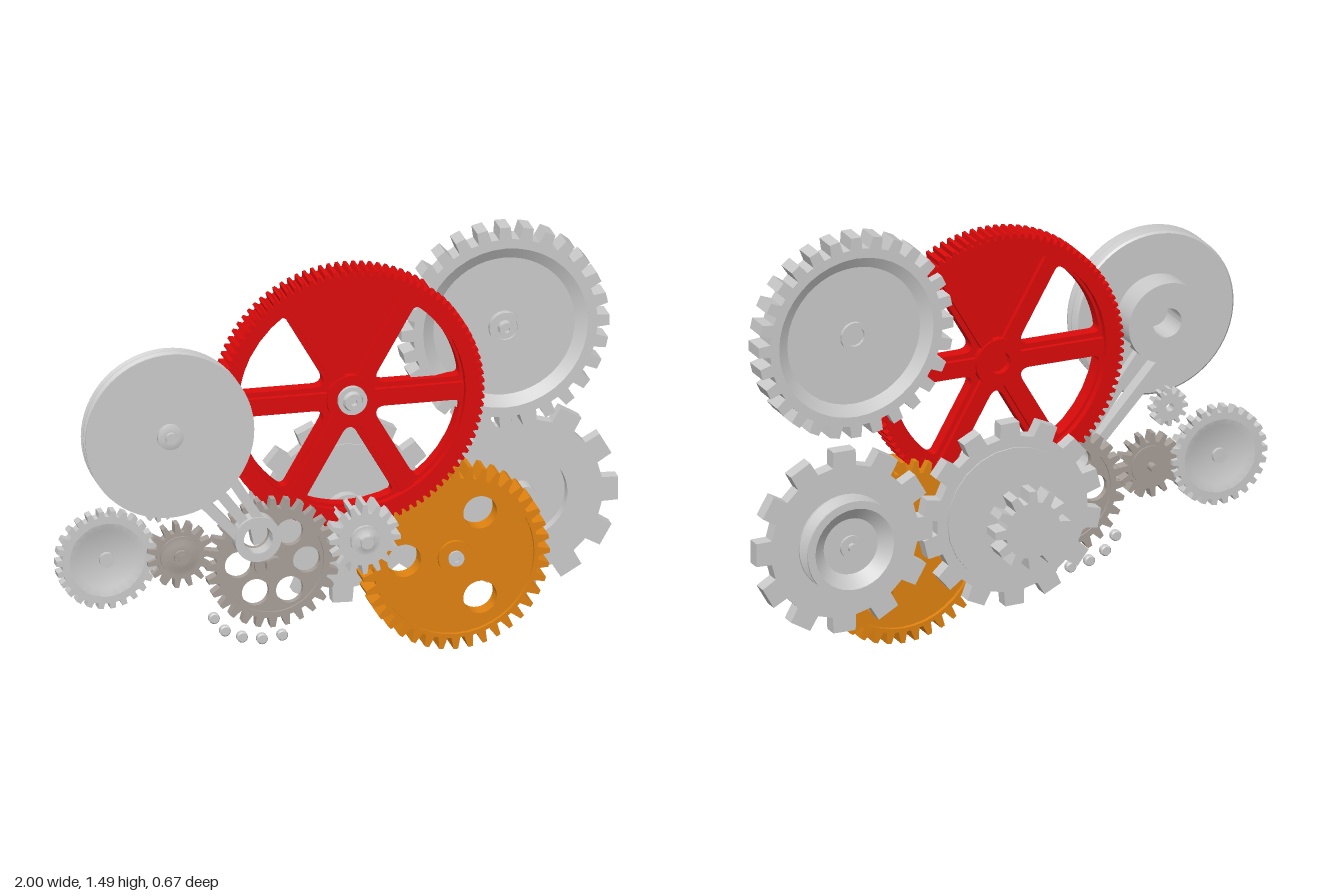
import * as THREE from 'three';
import { toCreasedNormals } from 'three/addons/utils/BufferGeometryUtils.js';

const grey = new THREE.MeshStandardMaterial({ color: 0xcccccc });
const red = new THREE.MeshStandardMaterial({ color: 0xdd0a0a });
const orange = new THREE.MeshStandardMaterial({ color: 0xe08210 });
const stone = new THREE.MeshStandardMaterial({ color: 0xa89f99 });

function add(group, name, geometry, material = grey) {
  const mesh = new THREE.Mesh(toCreasedNormals(geometry, 0.5), material);
  mesh.name = name;
  group.add(mesh);
  return mesh;
}

function wheel(root, name, x, y) {
  const g = new THREE.Group();
  g.name = name;
  g.position.set(x, y, 0);
  root.add(g);
  return g;
}

// Solid of revolution about z; points are [radius, z], running from back to front
function turned(pts, segments = 40) {
  return new THREE.LatheGeometry(pts.map(p => new THREE.Vector2(p[0], p[1])), segments).rotateX(Math.PI / 2);
}
const rod = (r, z0, z1) => turned([[0, z0], [r, z0], [r, z1], [0, z1]], 24);

function plate(shape, z0, z1) {
  return new THREE.ExtrudeGeometry(shape, { depth: z1 - z0, bevelEnabled: false, curveSegments: 20 }).translate(0, 0, z0);
}

function circle(x, y, r) {
  return new THREE.Path().absarc(x, y, r, 0, Math.PI * 2, true);
}

// Toothed outline; rootW and tipW are fractions of the tooth pitch
function gearShape(n, rOut, rRoot, rootW, tipW, holeR = 0, phase = 0) {
  const pts = [], pitch = Math.PI * 2 / n;
  for (let i = 0; i < n; i++) {
    for (const [r, f] of [[rRoot, -rootW / 2], [rOut, -tipW / 2], [rOut, tipW / 2], [rRoot, rootW / 2]]) {
      const a = phase + (i + f) * pitch;
      pts.push(new THREE.Vector2(r * Math.cos(a), r * Math.sin(a)));
    }
  }
  const s = new THREE.Shape(pts);
  if (holeR) s.holes.push(circle(0, 0, holeR));
  return s;
}

function disc(r) {
  return new THREE.Shape().absarc(0, 0, r, 0, Math.PI * 2, false);
}

// Wedge window between two parallel-sided spokes, with rounded corners
function spokeWindow(angle, count, half, r0, r1) {
  const at = (r, a) => new THREE.Vector2(r * Math.cos(a), r * Math.sin(a));
  const spread = r => Math.PI / count - Math.asin(half / r);
  const c = [at(r0, angle - spread(r0))];
  for (let i = -3; i <= 3; i++) c.push(at(r1, angle + spread(r1) * i / 3));
  c.push(at(r0, angle + spread(r0)));
  const p = new THREE.Path();
  c.forEach((v, i) => {
    const prev = c[(i + c.length - 1) % c.length], next = c[(i + 1) % c.length];
    const toward = q => v.clone().add(q.clone().sub(v).setLength(Math.min(0.025, q.distanceTo(v) * 0.45)));
    const a = toward(prev), b = toward(next);
    if (i === 0) p.moveTo(a.x, a.y); else p.lineTo(a.x, a.y);
    p.quadraticCurveTo(v.x, v.y, b.x, b.y);
  });
  p.closePath();
  return p;
}

// Web dished on both sides, filling a rim of inner radius R
function dish(R, z0, z1, depth, slope) {
  return turned([[0, z0 + depth], [R - slope, z0 + depth], [R, z0], [R + 0.002, z0],
    [R + 0.002, z1], [R, z1], [R - slope, z1 - depth], [0, z1 - depth]], 48);
}

export function createModel() {
  const root = new THREE.Group();
  root.name = 'gearTrain';

  // Large red spoked wheel; the top bay is left solid
  const main = wheel(root, 'redSpokedGear', 0.025, 0.94);
  add(main, 'redToothedRim', plate(gearShape(100, 0.46, 0.443, 0.75, 0.35, 0.395), 0.005, 0.108), red);
  const web = disc(0.4);
  for (let i = 0; i < 6; i++) {
    const a = Math.PI / 6 + i * Math.PI / 3;
    if (i !== 1) web.holes.push(spokeWindow(a, 6, 0.042, 0.11, 0.385));
    add(main, 'spokeRib', new THREE.BoxGeometry(0.33, 0.05, 0.085).translate(0.225, 0, 0.0565), red).rotation.z = i * Math.PI / 3;
  }
  add(main, 'redWeb', plate(web, 0.032, 0.08), red);
  add(main, 'redHub', turned([[0.04, 0.005], [0.085, 0.005], [0.085, 0.108], [0.04, 0.108], [0.04, 0.005]]), red);
  add(main, 'hubBush', turned([[0, 0.07], [0.05, 0.07], [0.05, 0.125], [0.035, 0.125], [0.03, 0.142], [0.012, 0.142], [0.012, 0.12], [0, 0.12]]));

  // Orange gear with three round holes
  const low = wheel(root, 'orangeGear', 0.395, 0.325);
  add(low, 'orangeToothedRim', plate(gearShape(40, 0.325, 0.285, 0.7, 0.3, 0.272), -0.025, 0.068), orange);
  const lowWeb = disc(0.274);
  for (const a of [60, 180, 300]) {
    const t = a * Math.PI / 180;
    lowWeb.holes.push(circle(0.175 * Math.cos(t), 0.175 * Math.sin(t), 0.058));
  }
  add(low, 'orangeWeb', plate(lowWeb, -0.01, 0.053), orange);
  add(low, 'orangeHub', rod(0.06, -0.025, 0.068), orange);
  add(low, 'orangeShaftEnd', turned([[0, 0.05], [0.027, 0.05], [0.027, 0.078], [0.012, 0.078], [0.012, 0.07], [0, 0.07]]));

  // Dished gear at upper right
  const upper = wheel(root, 'dishedGear', 0.57, 1.13);
  add(upper, 'dishedRim', plate(gearShape(28, 0.36, 0.318, 0.62, 0.46, 0.285, Math.PI / 2), -0.03, 0.055));
  add(upper, 'dishedWeb', dish(0.285, -0.03, 0.055, 0.022, 0.04));
  add(upper, 'dishedHub', turned([[0, 0], [0.055, 0], [0.055, 0.055], [0.042, 0.055], [0.042, 0.045], [0.025, 0.045],
    [0.025, 0.075], [0.01, 0.075], [0.01, 0.06], [0, 0.06]]));
  add(upper, 'boreCollar', turned([[0.035, -0.005], [0.035, -0.02], [0.05, -0.02], [0.05, -0.005]]));

  // Sprocket at far right with a grooved pulley behind
  const side = wheel(root, 'sideSprocket', 0.675, 0.46);
  add(side, 'sideSprocketPlate', plate(gearShape(12, 0.328, 0.272, 0.6, 0.48, 0.15), -0.165, -0.115));
  add(side, 'groovedPulley', turned([[0, -0.215], [0.1, -0.215], [0.145, -0.248], [0.173, -0.248], [0.173, -0.241],
    [0.118, -0.209], [0.173, -0.18], [0.173, -0.172], [0.15, -0.165], [0.15, -0.155], [0, -0.155]]));
  add(side, 'sideShaft', rod(0.04, -0.225, -0.09));
  add(side, 'sideShaftPin', rod(0.015, -0.24, -0.08));

  // Central shaft carrying front pinion, sprocket and rear pinion
  const mid = wheel(root, 'centralShaftGears', 0.055, 0.46);
  add(mid, 'centralSprocket', plate(gearShape(14, 0.33, 0.278, 0.6, 0.46, 0, 0.2), -0.165, -0.115));
  add(mid, 'sprocketFace', rod(0.24, -0.17, -0.11));
  add(mid, 'rearPinion', plate(gearShape(12, 0.14, 0.1, 0.68, 0.36), -0.335, -0.265));
  add(mid, 'centralShaft', rod(0.036, -0.3, 0.19));
  add(mid, 'sprocketHub', rod(0.07, -0.13, -0.075));
  add(mid, 'frontPinion', plate(gearShape(16, 0.124, 0.092, 0.68, 0.3), 0.08, 0.178));
  add(mid, 'pinionHub', turned([[0, 0.15], [0.052, 0.15], [0.052, 0.192], [0.04, 0.192], [0.022, 0.2], [0.022, 0.215], [0, 0.215]]));

  // Pale gear with six round holes
  const pale = wheel(root, 'paleHoledGear', -0.255, 0.39);
  const paleShape = gearShape(28, 0.23, 0.196, 0.68, 0.32);
  const recess = disc(0.178);
  for (let i = 0; i < 6; i++) {
    const a = i * Math.PI / 3;
    recess.holes.push(circle(0.118 * Math.cos(a), 0.118 * Math.sin(a), 0.047));
  }
  paleShape.holes.push(circle(0, 0, 0.176));
  add(pale, 'paleToothedRim', plate(paleShape, 0.103, 0.142), stone);
  add(pale, 'paleWeb', plate(recess, 0.11, 0.134), stone);
  add(pale, 'paleHub', turned([[0, 0.085], [0.035, 0.085], [0.035, 0.1], [0.065, 0.1], [0.065, 0.148], [0.03, 0.148], [0.03, 0.175], [0, 0.175]]), stone);

  // Small pale pinion
  const small = wheel(root, 'palePinion', -0.575, 0.443);
  add(small, 'palePinionTeeth', plate(gearShape(15, 0.115, 0.083, 0.66, 0.3), 0.1, 0.14), stone);
  add(small, 'palePinionHub', turned([[0, 0.095], [0.07, 0.095], [0.07, 0.147], [0.055, 0.147], [0.04, 0.152], [0.025, 0.152], [0.025, 0.165], [0, 0.165]]), stone);
  add(small, 'palePinionShaft', rod(0.014, 0.06, 0.17), stone);

  // Left dished gear
  const left = wheel(root, 'outerDishedGear', -0.825, 0.443);
  add(left, 'outerRim', plate(gearShape(26, 0.175, 0.155, 0.62, 0.42, 0.13), 0.083, 0.125));
  add(left, 'outerWeb', dish(0.13, 0.083, 0.125, 0.012, 0.025));
  add(left, 'outerHub', rod(0.026, 0.082, 0.128));

  // Tiny gear beneath the pulley
  const tiny = wheel(root, 'tinyGear', -0.65, 0.637);
  add(tiny, 'tinyTeeth', plate(gearShape(12, 0.067, 0.048, 0.66, 0.32, 0.014), 0.105, 0.142));

  // Twin-groove pulley with rear hub
  const pulley = wheel(root, 'twinGroovePulley', -0.65, 0.935);
  add(pulley, 'pulleyBody', turned([[0, 0.24], [0.052, 0.24], [0.052, 0.125], [0.142, 0.125], [0.142, 0.225], [0.285, 0.225],
    [0.292, 0.231], [0.262, 0.245], [0.292, 0.26], [0.292, 0.265], [0.262, 0.28], [0.292, 0.294], [0.292, 0.3], [0, 0.3]], 64));
  add(pulley, 'pulleyBoss', turned([[0, 0.3], [0.045, 0.3], [0.045, 0.314], [0.03, 0.318], [0.02, 0.318], [0.02, 0.332], [0, 0.332]], 24));

  // Twin-bar arm from the pulley hub to an eye
  const arm = wheel(root, 'arm', -0.32, 0.5);
  const eye = disc(0.08);
  eye.holes.push(circle(0, 0, 0.05));
  add(arm, 'armEye', plate(eye, 0.143, 0.2));
  const dir = Math.atan2(0.435, -0.33);
  for (const s of [-1, 1]) {
    const bar = new THREE.Shape([[0.06, s * 0.03], [0.42, s * 0.06], [0.42, s * 0.1], [0.05, s * 0.062]].map(p => new THREE.Vector2(...p)));
    add(arm, 'armBar', plate(bar, 0.145, 0.195)).rotation.z = dir;
  }
  add(arm, 'armWeb', new THREE.BoxGeometry(0.34, 0.035, 0.03).translate(0.24, 0, 0.17)).rotation.z = dir;

  // Loose rollers below the pale gear
  for (const [x, y] of [[-0.455, 0.203], [-0.417, 0.155], [-0.358, 0.128], [-0.289, 0.116], [-0.219, 0.123]]) {
    const r = wheel(root, 'roller', x, y);
    add(r, 'rollerBody', turned([[0, 0.108], [0.015, 0.108], [0.019, 0.113], [0.019, 0.129], [0.015, 0.133], [0, 0.133]], 16));
  }
  return root;
}
